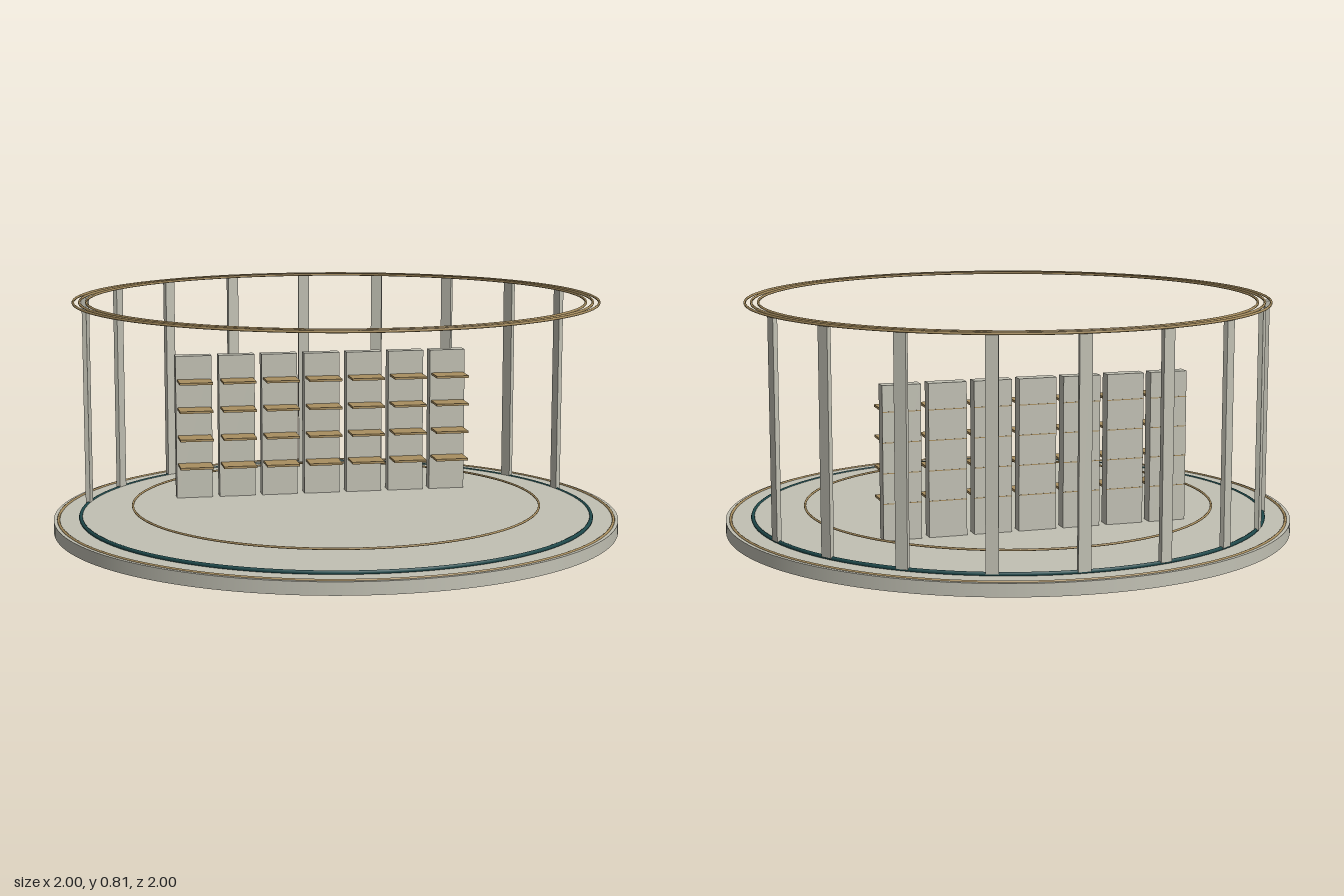
import * as THREE from 'three';

export function createModel() {
  const root = new THREE.Group();
  const mat = (name, color, side = THREE.FrontSide) => {
    const m = new THREE.MeshStandardMaterial({ color, side });
    m.name = name;
    return m;
  };
  const stone = mat('pale stone', 0xc2c1b4);
  const bronze = mat('bronze', 0xa98f60);
  const teal = mat('dark teal', 0x1f4a4c);

  const add = (parent, name, geometry, material, x = 0, y = 0, z = 0) => {
    const mesh = new THREE.Mesh(geometry, material);
    mesh.name = name;
    mesh.position.set(x, y, z);
    parent.add(mesh);
    return mesh;
  };
  const ring = (name, radius, tube, y, material) => {
    const geo = new THREE.TorusGeometry(radius, tube, 8, 128).rotateX(Math.PI / 2);
    return add(root, name, geo, material, 0, y, 0);
  };

  // Round platform with a slightly raised floor
  add(root, 'platform', new THREE.CylinderGeometry(1, 1, 0.044, 128), stone, 0, 0.022, 0);
  add(root, 'floor', new THREE.CylinderGeometry(0.9, 0.9, 0.01, 128), stone, 0, 0.047, 0);

  // Inlaid and floating rings
  ring('rimTrim', 0.983, 0.005, 0.044, bronze);
  ring('floorChannel', 0.905, 0.007, 0.049, teal);
  ring('innerRing', 0.722, 0.004, 0.081, bronze);

  // Overhead rings
  for (const r of [0.871, 0.895, 0.917]) ring('overheadRing', r, 0.0045, 0.808, bronze);

  // Posts in an arc around the back
  const postGeo = new THREE.BoxGeometry(0.042, 0.755, 0.016);
  for (let i = 0; i < 9; i++) {
    const a = THREE.MathUtils.degToRad(18.5 + 18.4 * i);
    const x = -Math.cos(a) * 0.907, z = -Math.sin(a) * 0.907;
    const post = add(root, 'post', postGeo, stone, x, 0.4275, z);
    post.rotation.y = Math.atan2(x, z);
  }

  // Row of display panels, each with four shelves
  const panelGeo = new THREE.BoxGeometry(0.132, 0.525, 0.048);
  const shelfGeo = new THREE.BoxGeometry(0.121, 0.008, 0.1);
  const seamGeo = new THREE.BoxGeometry(0.132, 0.003, 0.002);
  for (let i = 0; i < 7; i++) {
    const unit = new THREE.Group();
    unit.name = 'displayUnit';
    unit.position.x = (i - 3) * 0.158;
    add(unit, 'panel', panelGeo, stone, 0, 0.3145, -0.314);
    for (let j = 0; j < 4; j++) {
      const y = 0.177 + j * 0.1035;
      add(unit, 'shelf', shelfGeo, bronze, 0, y, -0.247);
      add(unit, 'backSeam', seamGeo, bronze, 0, y, -0.338);
    }
    root.add(unit);
  }
  return root;
}
